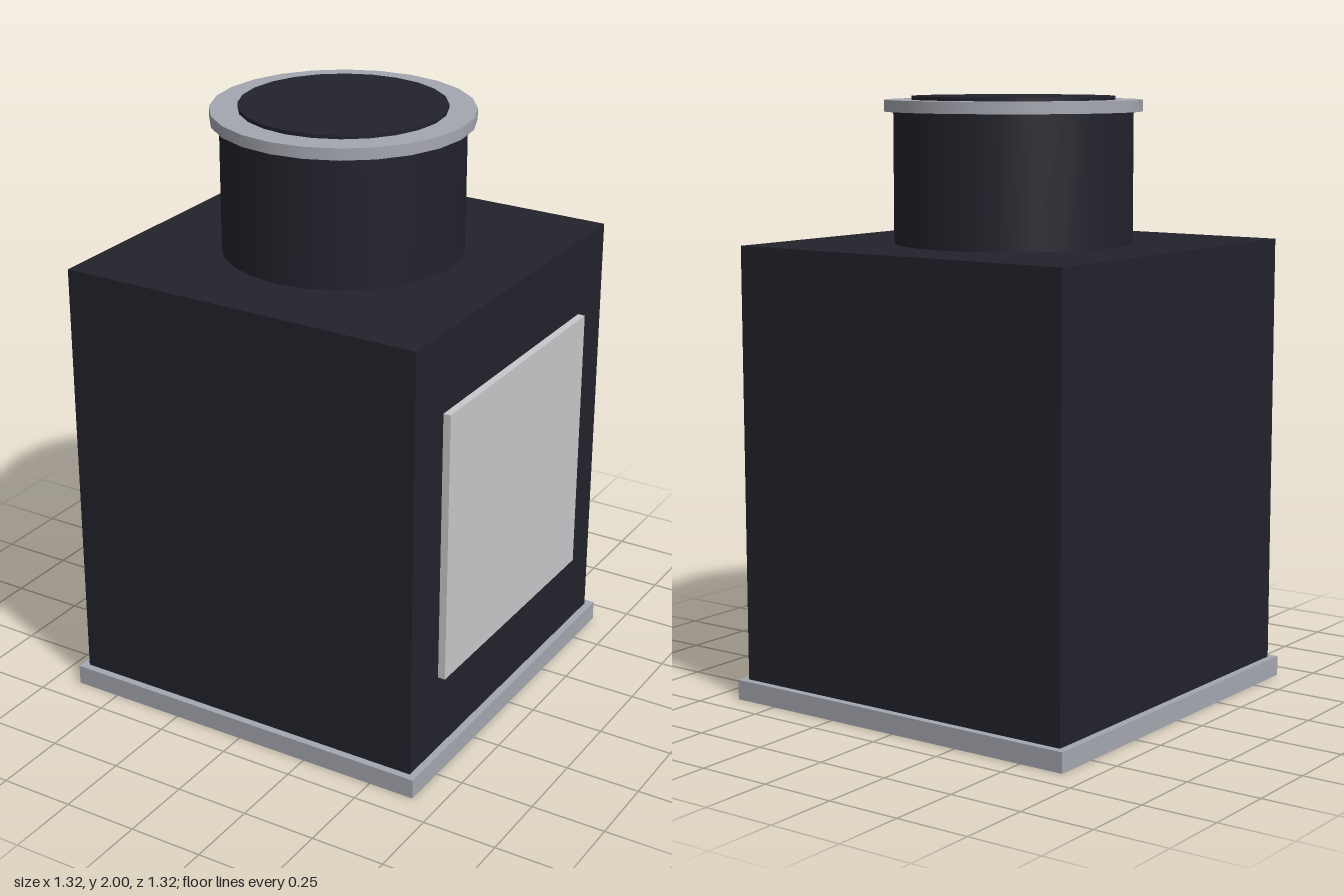
import * as THREE from 'three';

const dark = new THREE.MeshStandardMaterial({ color: 0x22222c });
dark.name = 'darkGlass';
const metal = new THREE.MeshStandardMaterial({ color: 0xa5a7b0 });
metal.name = 'greyMetal';
const paper = new THREE.MeshStandardMaterial({ color: 0xc8c8ca });
paper.name = 'paleLabel';

export function createModel() {
  const model = new THREE.Group();
  model.name = 'squareBottle';

  // Adds a mesh whose underside sits at height y0
  const add = (name, geometry, material, y0, y1, x = 0) => {
    const mesh = new THREE.Mesh(geometry, material);
    mesh.name = name;
    mesh.position.set(x, (y0 + y1) / 2, 0);
    model.add(mesh);
  };
  const block = (name, material, w, d, y0, y1, x) =>
    add(name, new THREE.BoxGeometry(w, y1 - y0, d), material, y0, y1, x);
  const drum = (name, material, r, y0, y1) =>
    add(name, new THREE.CylinderGeometry(r, r, y1 - y0, 24), material, y0, y1);

  // Square body on a slightly wider base plate
  block('basePlate', metal, 1.316, 1.316, 0, 0.067);
  block('body', dark, 1.266, 1.266, 0.067, 1.52);

  // Raised label on the left side
  block('label', paper, 0.026, 0.92, 0.333, 1.255, 0.645);

  // Round neck, rim and thin lid disc
  drum('neck', dark, 0.395, 1.52, 1.95);
  drum('rim', metal, 0.425, 1.95, 1.988);
  drum('lidDisc', dark, 0.335, 1.988, 2);

  return model;
}
